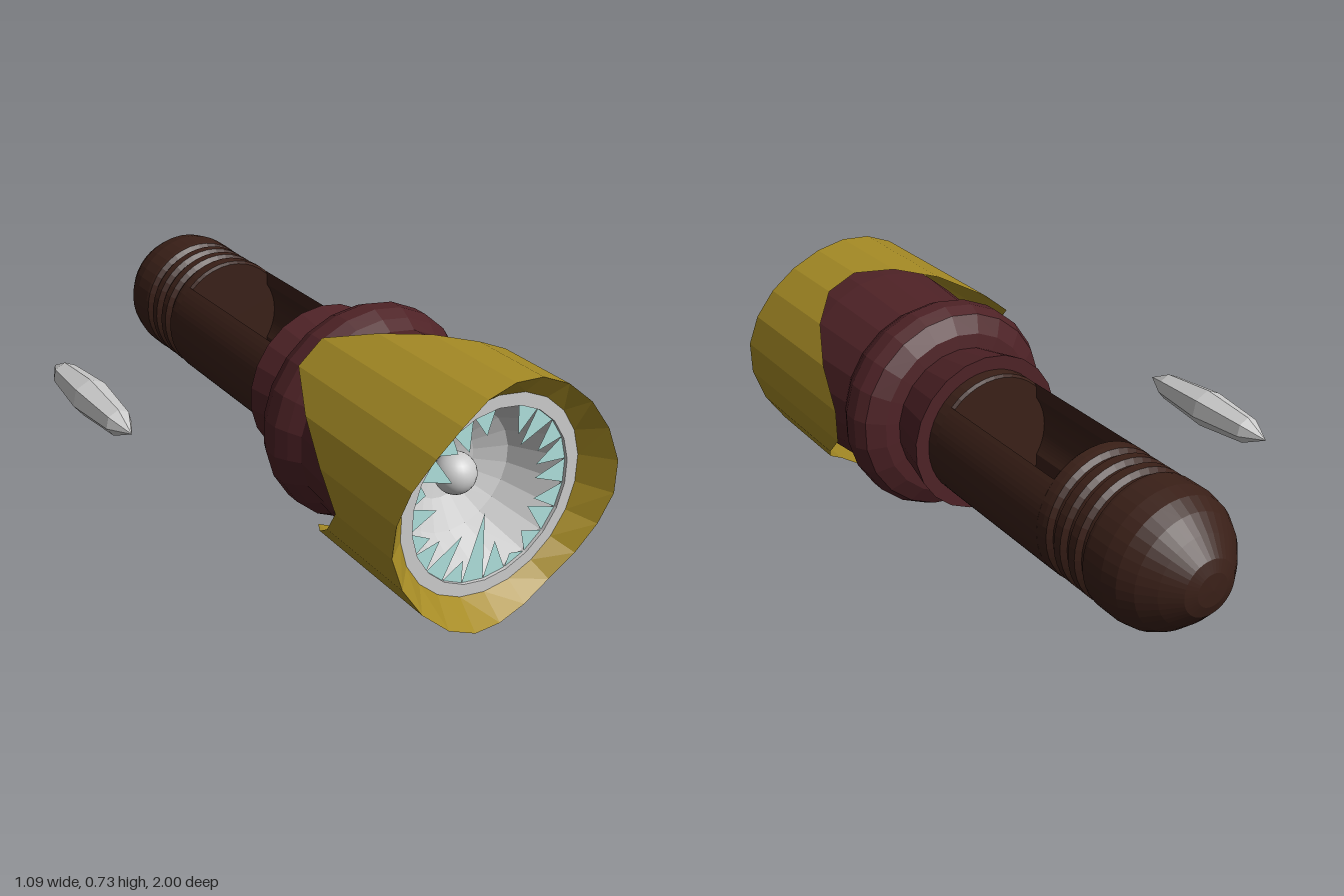
import * as THREE from 'three';

const SIDES = 22;
const STEP = (Math.PI * 2) / SIDES;

const paint = (color, flatShading = true, side = THREE.FrontSide) =>
  new THREE.MeshStandardMaterial({ color, flatShading, side });

// Lathe around z; profile is a list of [radius, z], with z rising for outward faces
function turned(profile, sides) {
  const points = profile.map(([r, z]) => new THREE.Vector2(r, z));
  return new THREE.LatheGeometry(points, sides).rotateX(Math.PI / 2);
}

export function createModel() {
  const model = new THREE.Group();
  const torch = new THREE.Group();
  torch.name = 'flashlight';
  torch.position.set(0.183, 0.367, 0);
  model.add(torch);

  const add = (name, geometry, material, parent = torch) => {
    const mesh = new THREE.Mesh(geometry, material);
    mesh.name = name;
    parent.add(mesh);
    return mesh;
  };

  const brown = paint(0x3a2018);
  const red = paint(0x4e2226, true, THREE.DoubleSide);
  const yellow = paint(0xa68b25, true, THREE.DoubleSide);
  const grey = paint(0xcccccc, true, THREE.DoubleSide);
  const glass = paint(0xaee0dc, true, THREE.DoubleSide);

  // Rounded grip with three grooves
  const grip = [[0, -1], [0.05, -0.997], [0.085, -0.985], [0.135, -0.94], [0.175, -0.895],
    [0.2, -0.85], [0.21, -0.8], [0.21, -0.73]];
  for (const z of [-0.7, -0.635, -0.57]) {
    grip.push([0.208, z - 0.018], [0.193, z - 0.006], [0.193, z + 0.006], [0.208, z + 0.018]);
  }
  grip.push([0.21, -0.535], [0.21, -0.51], [0.203, -0.5], [0, -0.5]);
  add('grip', turned(grip, 40), brown);
  add('handleFlange', turned([[0, 0.01], [0.203, 0.01], [0.21, 0.02], [0.21, 0.07]], 40), brown);

  // Two curved rails either side of the open battery bay
  const outer = Math.acos(0.15 / 0.21), inner = Math.acos(0.15 / 0.18);
  const section = new THREE.Shape();
  section.absarc(0, 0, 0.21, -outer, outer, false);
  section.absarc(0, 0, 0.18, inner, -inner, true);
  section.closePath();
  const rail = new THREE.ExtrudeGeometry(section, { depth: 0.53, bevelEnabled: false, curveSegments: 10 });
  rail.translate(0, 0, -0.51);
  add('leftRail', rail, brown);
  add('rightRail', rail, brown).rotation.z = Math.PI;

  // Flared collar, bulging shoulder and head
  add('collar', turned([[0, 0.062], [0.255, 0.062], [0.225, 0.215], [0.27, 0.22], [0.325, 0.25],
    [0.343, 0.29], [0.343, 0.34], [0.325, 0.38], [0.302, 0.42], [0.325, 0.68], [0.325, 0.86]], SIDES), red);

  // Outer shell: back edge cut into three teeth, front edge gently waved
  const backZ = [0.365, 0.49, 0.61, 0.69, 0.69, 0.61, 0.5, 0.365, 0.365, 0.49, 0.61,
    0.69, 0.61, 0.49, 0.365, 0.365, 0.49, 0.61, 0.69, 0.61, 0.49, 0.365];
  const shell = turned([[0.367, 0], [0.367, 1], [0.307, 0.905]], SIDES);
  const pos = shell.attributes.position;
  for (let i = 0; i <= SIDES; i++) {
    const back = backZ[(i + 16) % SIDES];
    pos.setZ(i * 3, back);
    pos.setZ(i * 3 + 1, 1 - 0.05 * (back - 0.365) / 0.325);
  }
  add('toothedShell', shell, yellow);

  // Lens rim, reflector bowl and bulb
  add('lensRim', turned([[0.312, 0.86], [0.308, 0.905], [0.268, 0.905], [0.268, 0.88]], SIDES), grey);
  add('reflector', turned([[0.27, 0.89], [0.195, 0.74], [0.11, 0.69], [0, 0.66]], SIDES), grey);
  add('bulb', new THREE.SphereGeometry(0.062, 24, 16).translate(-0.003, 0, 0.75), paint(0xcccccc, false));
  add('bulbNeck', turned([[0.03, 0.66], [0.03, 0.73]], 12), grey);

  // Broken glass: one shard per rim side, clockwise from the top; value is the tip radius
  const tips = [0.26, 0.183, 0.158, 0.183, 0.166, 0.159, 0.173, 0.163, 0.2, 0.235, 0.16,
    0.055, 0.2, 0.133, 0.187, 0.21, 0.18, 0.23, 0.155, 0.2, 0.175, 0.19];
  const corners = [];
  const corner = (r, a) => corners.push(r * Math.sin(a), r * Math.cos(a), 0.895);
  tips.forEach((r, k) => {
    corner(0.27, k * STEP);
    corner(r, (k + 0.5 + 0.25 * Math.sin(k * 2.4)) * STEP);
    corner(0.27, (k + 1) * STEP);
  });
  const shards = new THREE.BufferGeometry();
  shards.setAttribute('position', new THREE.Float32BufferAttribute(corners, 3));
  shards.computeVertexNormals();
  add('brokenGlass', shards, glass);

  // Seven-sided crystal floating beside the torch
  const crystal = turned([[0, -0.475], [0.043, -0.39], [0.062, -0.2], [0.043, -0.005], [0, 0.08]], 7);
  crystal.rotateZ(Math.PI);
  add('crystal', crystal, paint(0xcccccc), model).position.set(-0.488, 0.367, 0);

  return model;
}
